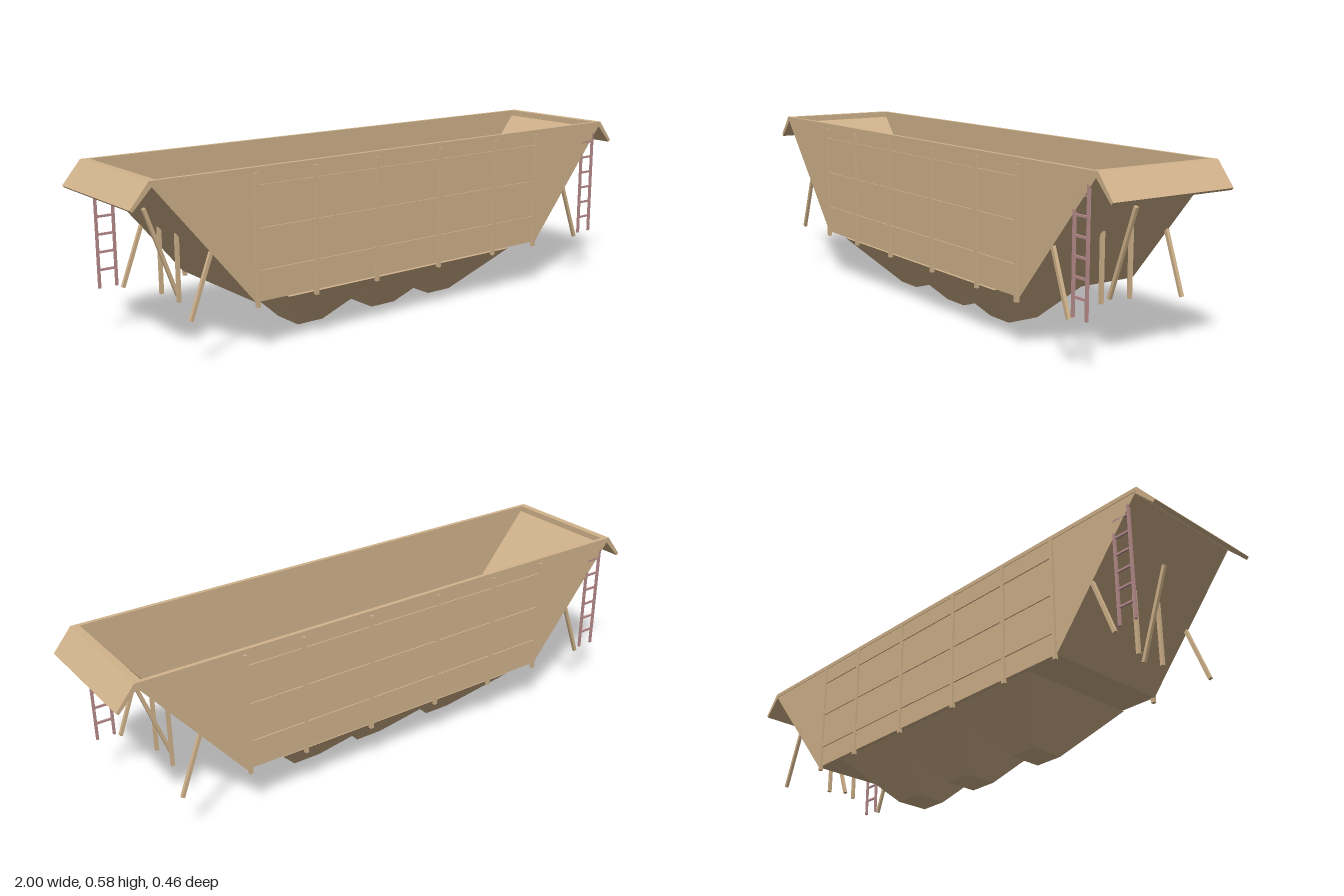
import * as THREE from 'three';

const tan = new THREE.MeshStandardMaterial({ color: 0xd2b48c, flatShading: true });
const rose = new THREE.MeshStandardMaterial({ color: 0xbc8f8f, flatShading: true });

function add(parent, name, geometry, material = tan) {
  const mesh = new THREE.Mesh(geometry, material);
  mesh.name = name;
  parent.add(mesh);
  return mesh;
}

function box(parent, name, size, pos, material) {
  const mesh = add(parent, name, new THREE.BoxGeometry(...size), material);
  mesh.position.set(...pos);
  return mesh;
}

// Profile in the xy plane, extruded from z0 to z1
function slab(parent, name, points, z0, z1) {
  const shape = new THREE.Shape(points.map(p => new THREE.Vector2(...p)));
  const geo = new THREE.ExtrudeGeometry(shape, { depth: z1 - z0, bevelEnabled: false });
  geo.translate(0, 0, z0);
  return add(parent, name, geo);
}

// Square bar between two points in the xy plane at a given z
function strut(parent, name, [x0, y0], [x1, y1], z, t = 0.011) {
  const dx = x1 - x0, dy = y1 - y0;
  const bar = box(parent, name, [t, Math.hypot(dx, dy), t], [(x0 + x1) / 2, (y0 + y1) / 2, z]);
  bar.rotation.z = -Math.atan2(dx, dy);
}

function endGroup(name) {
  const end = new THREE.Group();
  end.name = name;

  // Sloping canopy over the end
  slab(end, 'endFlap', [[0.925, 0.578], [0.938, 0.578], [1, 0.503], [0.992, 0.496], [0.925, 0.566]], -0.223, 0.223);

  // Bars beneath the sloping end sheet
  strut(end, 'centreStrut', [0.745, 0.162], [0.848, 0.45], 0);
  for (const s of [-1, 1]) {
    strut(end, 'uprightStrut', [0.771, 0.16], [0.771, 0.374], s * 0.055);
    strut(end, 'cornerStrut', [0.822, 0.152], [0.745, 0.357], s * 0.217);
  }

  // Ladder on one corner
  const ladder = new THREE.Group();
  ladder.name = 'ladder';
  for (const [x, top] of [[0.842, 0.465], [0.9, 0.538]])
    box(ladder, 'ladderRail', [0.008, top - 0.163, 0.008], [x, (top + 0.163) / 2, 0.219], rose);
  for (let i = 0; i < 6; i++)
    box(ladder, 'ladderRung', [0.058, 0.007, 0.006], [0.871, 0.222 + i * 0.057, 0.219], rose);
  end.add(ladder);
  return end;
}

export function createModel() {
  const model = new THREE.Group();
  model.name = 'hopperWagonBody';

  // Floor and sloping end sheets as one folded plate
  slab(model, 'floorAndEnds', [
    [-0.93, 0.575], [-0.93, 0.56], [-0.603, 0.167], [0.603, 0.167], [0.93, 0.56], [0.93, 0.575],
    [0.914, 0.575], [0.914, 0.557], [0.6, 0.177], [-0.6, 0.177], [-0.914, 0.557], [-0.914, 0.575],
  ], -0.214, 0.214);

  // Long sides with rim, posts and stiffening rails
  const posts = [-0.597, -0.38, -0.14, 0.13, 0.385, 0.59];
  for (const s of [-1, 1]) {
    slab(model, 'sideWall', [[-0.93, 0.56], [-0.603, 0.167], [0.603, 0.167], [0.93, 0.56], [0.93, 0.575], [-0.93, 0.575]],
      s * 0.218 - 0.004, s * 0.218 + 0.004);
    box(model, 'sideRim', [1.87, 0.014, 0.014], [0, 0.571, s * 0.217]);
    box(model, 'endRim', [0.022, 0.014, 0.43], [s * 0.924, 0.571, 0]);
    for (const x of posts) box(model, 'sidePost', [0.012, 0.41, 0.012], [x, 0.356, s * 0.223]);
    for (const y of [0.512, 0.382, 0.252])
      for (let i = 0; i < posts.length - 1; i++)
        box(model, 'sideRail', [posts[i + 1] - posts[i], 0.024, 0.007],
          [(posts[i] + posts[i + 1]) / 2, y, s * 0.2225]);
  }

  // Three discharge hoppers: front profile narrowed in z towards the bottom
  const hoppers = slab(model, 'dischargeHoppers', [
    [-0.48, 0.162], [-0.34, 0.002], [-0.24, 0.002], [-0.135, 0.125], [-0.03, 0.002], [0.07, 0.002],
    [0.15, 0.095], [0.23, 0.002], [0.33, 0.002], [0.468, 0.162],
  ], -1, 1);
  hoppers.geometry.translate(0, -0.002, 0);
  const pos = hoppers.geometry.attributes.position;
  for (let i = 0; i < pos.count; i++)
    pos.setZ(i, Math.sign(pos.getZ(i)) * (0.058 + 0.99 * pos.getY(i)));
  hoppers.geometry.computeVertexNormals();

  // Both ends, the second turned half way round
  model.add(endGroup('leftEnd'));
  const other = endGroup('rightEnd');
  other.rotation.y = Math.PI;
  model.add(other);
  return model;
}
